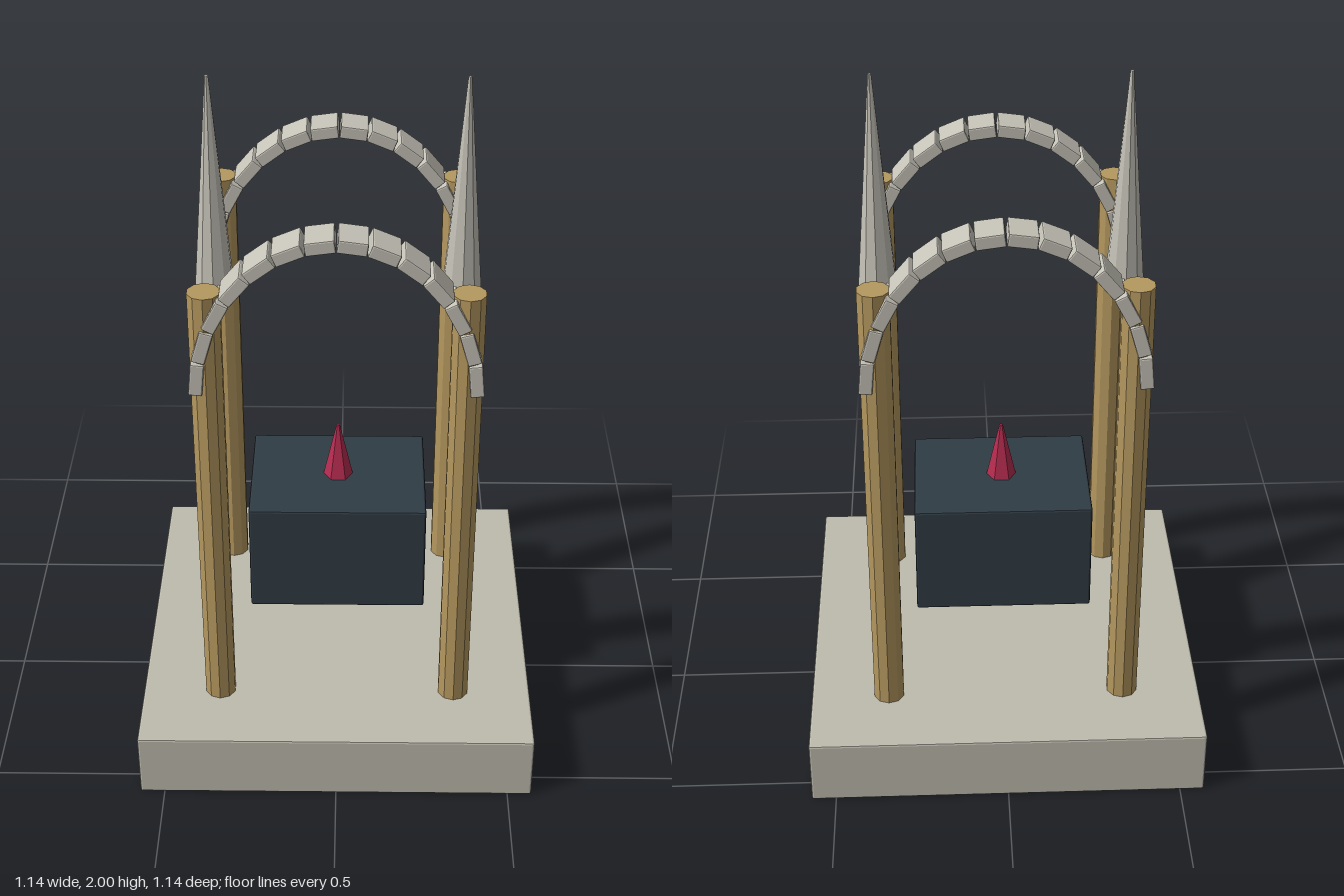
import * as THREE from 'three';
import { RoundedBoxGeometry } from 'three/addons/geometries/RoundedBoxGeometry.js';

const paint = (color) => new THREE.MeshStandardMaterial({ color, flatShading: true });

export function createModel() {
  const model = new THREE.Group();
  model.name = 'archedShrine';
  const stone = paint(0xbebbae);
  const paleStone = paint(0xc6c3b8);
  const wood = paint(0xb5985f);
  const slate = paint(0x303c45);
  const red = paint(0xb52c50);

  const add = (name, geometry, material, x, y, z, parent = model) => {
    const mesh = new THREE.Mesh(geometry, material);
    mesh.name = name;
    mesh.position.set(x, y, z);
    parent.add(mesh);
    return mesh;
  };

  // Plinth and the floating block
  add('base', new RoundedBoxGeometry(1.14, 0.2, 1.14, 1, 0.006), stone, 0, 0.103, 0);
  add('block', new RoundedBoxGeometry(0.512, 0.342, 0.4, 1, 0.006), slate, 0, 0.574, 0);

  // Six-sided tip on the block, corners towards the sides
  const tip = add('tip', new THREE.CylinderGeometry(0.005, 0.043, 0.17, 6), red, 0, 0.83, 0);
  tip.rotation.y = Math.PI / 6;

  // Posts at the four corners
  const postGeometry = new THREE.CylinderGeometry(0.045, 0.045, 1.35, 10);
  for (const x of [-0.343, 0.343])
    for (const z of [-0.343, 0.343]) add('post', postGeometry, wood, x, 0.875, z);

  // Hanging spires midway along each side
  const spireGeometry = new THREE.CylinderGeometry(0.005, 0.056, 0.625, 10);
  for (const x of [-0.343, 0.343]) add('spire', spireGeometry, paleStone, x, 1.6875, 0);

  // Front and back arches: stones set along a half ellipse
  const count = 14, a = 0.37, b = 0.445, springY = 1.26;
  for (const [name, z] of [['frontArch', 0.343], ['backArch', -0.343]]) {
    const arch = new THREE.Group();
    arch.name = name;
    model.add(arch);
    for (let i = 0; i < count; i++) {
      const t = ((i + 0.5) * Math.PI) / count;
      const dx = -a * Math.sin(t), dy = b * Math.cos(t);
      const length = Math.hypot(dx, dy) * (Math.PI / count) * 0.94;
      const block = add('archStone', new RoundedBoxGeometry(length, 0.037, 0.102, 1, 0.004), paleStone,
        a * Math.cos(t), springY + b * Math.sin(t), z, arch);
      block.rotation.z = Math.atan2(dy, dx) + Math.PI;
    }
  }
  return model;
}
